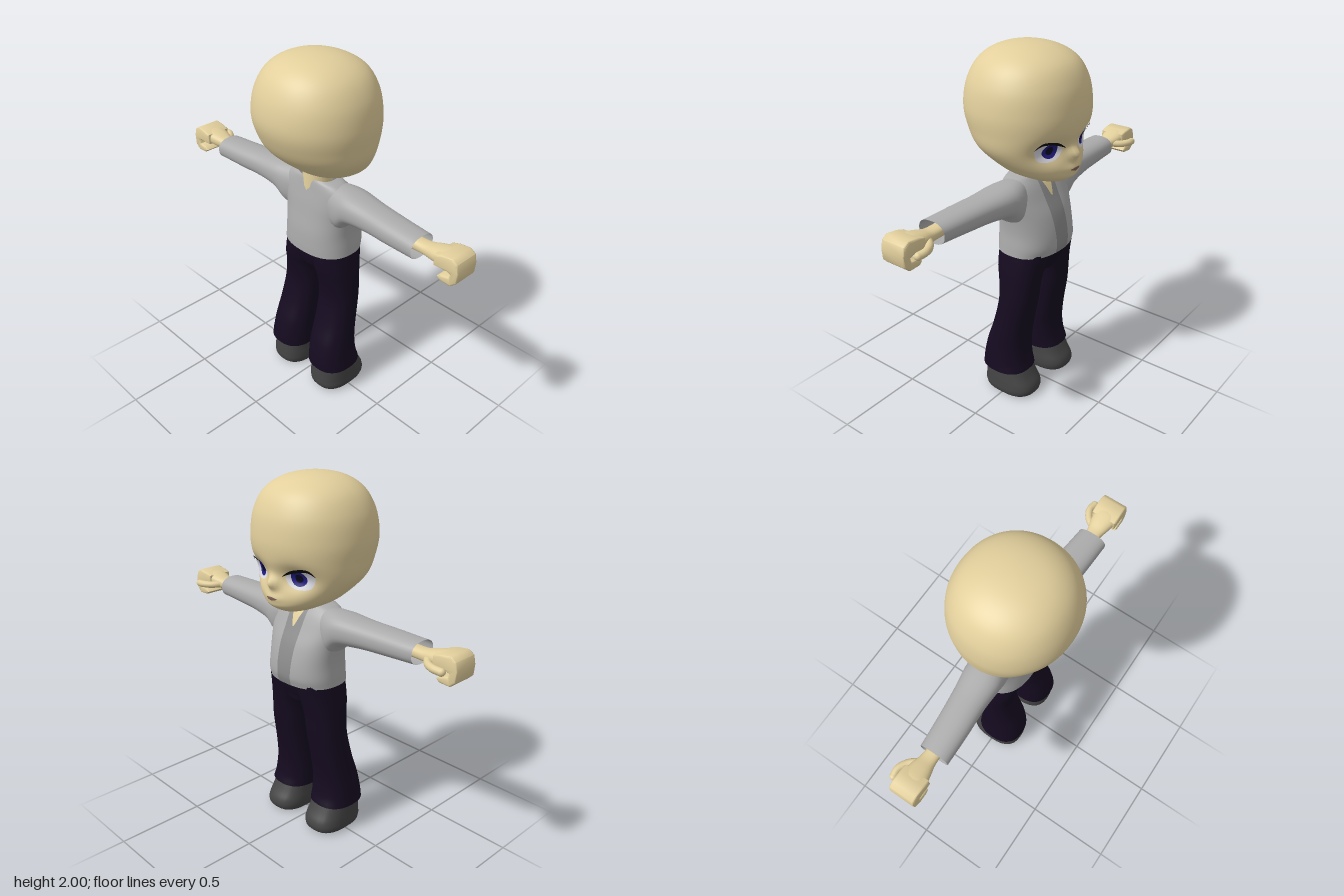
import * as THREE from 'three';
import { toCreasedNormals } from 'three/addons/utils/BufferGeometryUtils.js';

const SKIN = 0xe2cf9c, SHIRT = 0xacacac, BAND = 0x8c8c8c, TROUSERS = 0x150b20, SHOE = 0x444444;

// Profile rows: [position along axis, u0, u1, v0, v1]; u/v are x/z (axis y) or y/z (axis x).
const HEAD = [
  [1.305, 0, 0, 0.14, 0.14], [1.315, -0.07, 0.07, 0.05, 0.215], [1.35, -0.155, 0.155, -0.045, 0.268],
  [1.4, -0.23, 0.23, -0.13, 0.282], [1.5, -0.308, 0.308, -0.245, 0.28], [1.6, -0.33, 0.33, -0.302, 0.305],
  [1.7, -0.335, 0.335, -0.325, 0.312], [1.82, -0.312, 0.312, -0.306, 0.293], [1.92, -0.25, 0.25, -0.25, 0.235],
  [1.98, -0.145, 0.145, -0.155, 0.125], [2, 0, 0, -0.015, -0.015]];
const TORSO = [
  [0.9, -0.22, 0.22, -0.127, 0.212], [0.95, -0.218, 0.218, -0.127, 0.223], [1.03, -0.214, 0.214, -0.122, 0.215],
  [1.12, -0.222, 0.222, -0.108, 0.19], [1.2, -0.24, 0.24, -0.096, 0.152], [1.27, -0.235, 0.235, -0.083, 0.118],
  [1.315, -0.18, 0.18, -0.075, 0.09], [1.335, -0.115, 0.115, -0.07, 0.078]];
const SLEEVE = [
  [0.12, 1.08, 1.32, -0.07, 0.1], [0.2, 1.085, 1.322, -0.085, 0.125], [0.27, 1.145, 1.318, -0.09, 0.122],
  [0.4, 1.165, 1.307, -0.087, 0.1], [0.55, 1.17, 1.3, -0.095, 0.082], [0.73, 1.175, 1.292, -0.1, 0.065]];
const LEG = [
  [0.16, 0.03, 0.293, -0.167, 0.12], [0.22, 0.03, 0.284, -0.162, 0.103], [0.32, 0.03, 0.272, -0.142, 0.095],
  [0.45, 0.03, 0.26, -0.1, 0.11], [0.6, 0.03, 0.247, -0.07, 0.138], [0.72, 0.025, 0.235, -0.078, 0.153],
  [0.8, 0.005, 0.225, -0.095, 0.168], [0.92, -0.02, 0.205, -0.1, 0.197]];
const PELVIS = [
  [0.755, 0, 0, 0.04, 0.04], [0.77, -0.07, 0.07, -0.06, 0.14], [0.82, -0.17, 0.17, -0.09, 0.165],
  [0.88, -0.205, 0.205, -0.1, 0.188], [0.94, -0.2, 0.2, -0.1, 0.195]];
const SHOE_ROWS = [
  [0, 0.16, 0.16, 0, 0], [0.004, 0.06, 0.26, -0.13, 0.14], [0.03, 0.042, 0.28, -0.155, 0.168],
  [0.07, 0.04, 0.279, -0.156, 0.163], [0.12, 0.045, 0.274, -0.152, 0.132], [0.2, 0.05, 0.265, -0.145, 0.09]];
const WRIST = [
  [0.68, 1.205, 1.265, -0.05, 0.03], [0.76, 1.205, 1.265, -0.05, 0.035], [0.82, 1.205, 1.28, -0.065, 0.05],
  [0.88, 1.215, 1.292, -0.078, 0.058], [0.93, 1.225, 1.29, -0.07, 0.05]];

// Smooth interpolation between rows; an end row of zero width becomes a round pole.
function sample(rows, t) {
  const n = rows.length - 1, i = Math.min(Math.floor(t * n), n - 1), f = t * n - i;
  const beyond = (end, next) => end[1] === end[2]
    ? [next[0], next[2], next[1], next[4], next[3]]
    : end.map((e, k) => 2 * e - next[k]);
  const a = rows[i], b = rows[i + 1];
  const p = rows[i - 1] ?? beyond(a, b), q = rows[i + 2] ?? beyond(b, a);
  return a.map((_, k) => 0.5 * (2 * a[k] + (b[k] - p[k]) * f
    + (2 * p[k] - 5 * a[k] + 4 * b[k] - q[k]) * f * f
    + (3 * a[k] - p[k] - 3 * b[k] + q[k]) * f * f * f));
}

// Grid of points (rows x cols) to a smooth geometry, optionally closed around.
function grid(nr, nc, wrap, point) {
  const pos = [], index = [], w = wrap ? nc : nc + 1;
  for (let i = 0; i <= nr; i++) for (let j = 0; j < w; j++) pos.push(...point(i / nr, j / nc));
  for (let i = 0; i < nr; i++) for (let j = 0; j < nc; j++) {
    const k = (j + 1) % w, a = i * w + j, b = i * w + k;
    index.push(a, b, a + w, b, b + w, a + w);
  }
  const g = new THREE.BufferGeometry();
  g.setAttribute('position', new THREE.Float32BufferAttribute(pos, 3));
  g.setIndex(index);
  g.computeVertexNormals();
  return g;
}

// Loft of superellipse sections along x or y.
function loft(rows, axis, p, segs, steps, bump) {
  const pow = c => Math.sign(c) * Math.abs(c) ** (2 / p);
  return grid(steps, segs, true, (t, s) => {
    const [d, u0, u1, v0, v1] = sample(rows, t), a = s * Math.PI * 2;
    const dir = axis === 'y' ? -1 : 1;
    const u = (u0 + u1) / 2 + (u1 - u0) / 2 * pow(Math.cos(a));
    const v = (v0 + v1) / 2 + (v1 - v0) / 2 * pow(Math.sin(a)) * dir;
    if (axis === 'x') return [d, u, v];
    return [u, d, v + (bump && Math.sin(a) * dir > 0 ? bump(u, d) : 0)];
  });
}

// Front depth of a lofted body at (x, y).
function frontZ(rows, p, bump) {
  return (x, y) => {
    let lo = 0, hi = 1;
    for (let i = 0; i < 24; i++) {
      const m = (lo + hi) / 2;
      if (sample(rows, m)[0] < y) lo = m; else hi = m;
    }
    const [, , w, v0, v1] = sample(rows, lo);
    const k = Math.max(0, 1 - Math.abs(x / w) ** p) ** (1 / p);
    return (v0 + v1) / 2 + (v1 - v0) / 2 * k + (bump ? bump(x, y) : 0);
  };
}

// Patch lying on a surface, between a bottom and a top outline drawn left to right.
function patch(surface, bottom, top, lift, n = 20) {
  const curve = pts => new THREE.SplineCurve(pts.map(q => new THREE.Vector2(...q)));
  const lo = curve(bottom), hi = curve(top);
  return grid(n, n, false, (t, s) => {
    const q = lo.getPoint(s).lerp(hi.getPoint(s), t);
    return [q.x, q.y, surface(q.x, q.y) + lift];
  });
}

function disc(surface, cx, cy, rx, ry, lift) {
  const arc = sign => Array.from({ length: 13 }, (_, i) => {
    const a = Math.PI * (1 - i / 12);
    return [cx + rx * Math.cos(a), cy + sign * ry * Math.sin(a)];
  });
  return patch(surface, arc(-1), arc(1), lift);
}

function mirrored(geo) {
  const g = geo.clone().scale(-1, 1, 1);
  const idx = g.index ? Array.from(g.index.array) : Array.from({ length: g.attributes.position.count }, (_, i) => i);
  for (let i = 0; i < idx.length; i += 3) [idx[i + 1], idx[i + 2]] = [idx[i + 2], idx[i + 1]];
  g.setIndex(idx);
  return g;
}

// Sockets, nose, lips and chin.
function faceBump(x, y) {
  const g = (cx, cy, sx, sy) => Math.exp(-(((x - cx) / sx) ** 2) - ((y - cy) / sy) ** 2);
  return -0.04 * (g(0.14, 1.515, 0.085, 0.06) + g(-0.14, 1.515, 0.085, 0.06))
    + 0.042 * g(0, 1.478, 0.032, 0.034) + 0.015 * g(0, 1.4, 0.06, 0.025) + 0.01 * g(0, 1.355, 0.07, 0.025);
}

export function createModel() {
  const model = new THREE.Group(), figure = new THREE.Group();
  model.name = 'model';
  figure.name = 'figure';
  figure.rotation.y = Math.PI / 2; // the figure looks along +x
  model.add(figure);

  const add = (name, geo, color) => {
    const mesh = new THREE.Mesh(geo, new THREE.MeshStandardMaterial({ color, side: THREE.DoubleSide }));
    mesh.name = name;
    figure.add(mesh);
  };
  const addPair = (name, geo, color) => {
    add('left' + name, geo, color);
    add('right' + name, mirrored(geo), color);
  };

  // Head and neck
  add('head', loft(HEAD, 'y', 2.1, 112, 90, faceBump), SKIN);
  add('neck', new THREE.CylinderGeometry(0.075, 0.085, 0.16, 24).translate(0, 1.33, 0), SKIN);

  // Eyes and mouth follow the face surface
  const face = frontZ(HEAD, 2.1, faceBump);
  addPair('EyeWhite', patch(face,
    [[0.068, 1.512], [0.09, 1.478], [0.14, 1.46], [0.2, 1.472], [0.225, 1.53]],
    [[0.068, 1.512], [0.09, 1.535], [0.14, 1.556], [0.2, 1.565], [0.225, 1.53]], 0.003), 0xdcdce4);
  addPair('Iris', disc(face, 0.138, 1.517, 0.041, 0.041, 0.005), 0x221c80);
  addPair('Pupil', disc(face, 0.138, 1.517, 0.02, 0.022, 0.007), 0x0a0820);
  addPair('UpperLash', patch(face,
    [[0.06, 1.52], [0.1, 1.537], [0.15, 1.552], [0.2, 1.558], [0.232, 1.535]],
    [[0.06, 1.522], [0.1, 1.551], [0.15, 1.569], [0.205, 1.573], [0.232, 1.537]], 0.009), 0x0c0a0c);
  add('mouth', patch(face,
    [[-0.04, 1.398], [0, 1.387], [0.04, 1.398]], [[-0.04, 1.4], [0, 1.407], [0.04, 1.4]], 0.003), 0x80645a);

  // Shirt with front band and open neck
  add('shirt', loft(TORSO, 'y', 2.4, 56, 40), SHIRT);
  const chest = frontZ(TORSO, 2.4);
  add('frontBand', patch(chest, [[-0.048, 0.902], [0, 0.902], [0.048, 0.902]],
    [[-0.062, 1.325], [0, 1.325], [0.062, 1.325]], 0.003, 28), BAND);
  add('openNeck', patch(chest, [[-0.05, 1.325], [-0.025, 1.265], [0, 1.21], [0.025, 1.265], [0.05, 1.325]],
    [[-0.05, 1.328], [0, 1.328], [0.05, 1.328]], 0.006), SKIN);
  addPair('Sleeve', loft(SLEEVE, 'x', 2.4, 32, 30), SHIRT);

  // Hands: wrist, palm with curled fingers, thumb
  addPair('Wrist', loft(WRIST, 'x', 2.4, 24, 16), SKIN);
  const hook = new THREE.Shape([
    [0.85, 1.28], [0.89, 1.293], [0.95, 1.3], [0.98, 1.28], [0.99, 1.235], [0.985, 1.18], [0.955, 1.152],
    [0.895, 1.155], [0.875, 1.172], [0.895, 1.19], [0.94, 1.195], [0.947, 1.215], [0.925, 1.222], [0.85, 1.22],
  ].map(q => new THREE.Vector2(...q)));
  const fist = new THREE.ExtrudeGeometry(hook, {
    depth: 0.13, bevelThickness: 0.009, bevelSize: 0.009, bevelOffset: -0.009, bevelSegments: 2 });
  addPair('CurledHand', toCreasedNormals(fist.translate(0, 0, -0.075), 0.8), SKIN);
  const thumbPath = new THREE.CatmullRomCurve3([
    [0.79, 1.235, 0.015], [0.83, 1.23, 0.065], [0.88, 1.23, 0.092], [0.925, 1.225, 0.088]
  ].map(q => new THREE.Vector3(...q)));
  addPair('Thumb', new THREE.TubeGeometry(thumbPath, 14, 0.02, 12), SKIN);
  addPair('ThumbTip', new THREE.SphereGeometry(0.02, 12, 8).translate(0.925, 1.225, 0.088), SKIN);

  // Trousers and shoes
  add('trouserSeat', loft(PELVIS, 'y', 2.4, 48, 20), TROUSERS);
  addPair('TrouserLeg', loft(LEG, 'y', 2.4, 32, 32), TROUSERS);
  addPair('Shoe', loft(SHOE_ROWS, 'y', 2.6, 28, 20), SHOE);
  return model;
}
